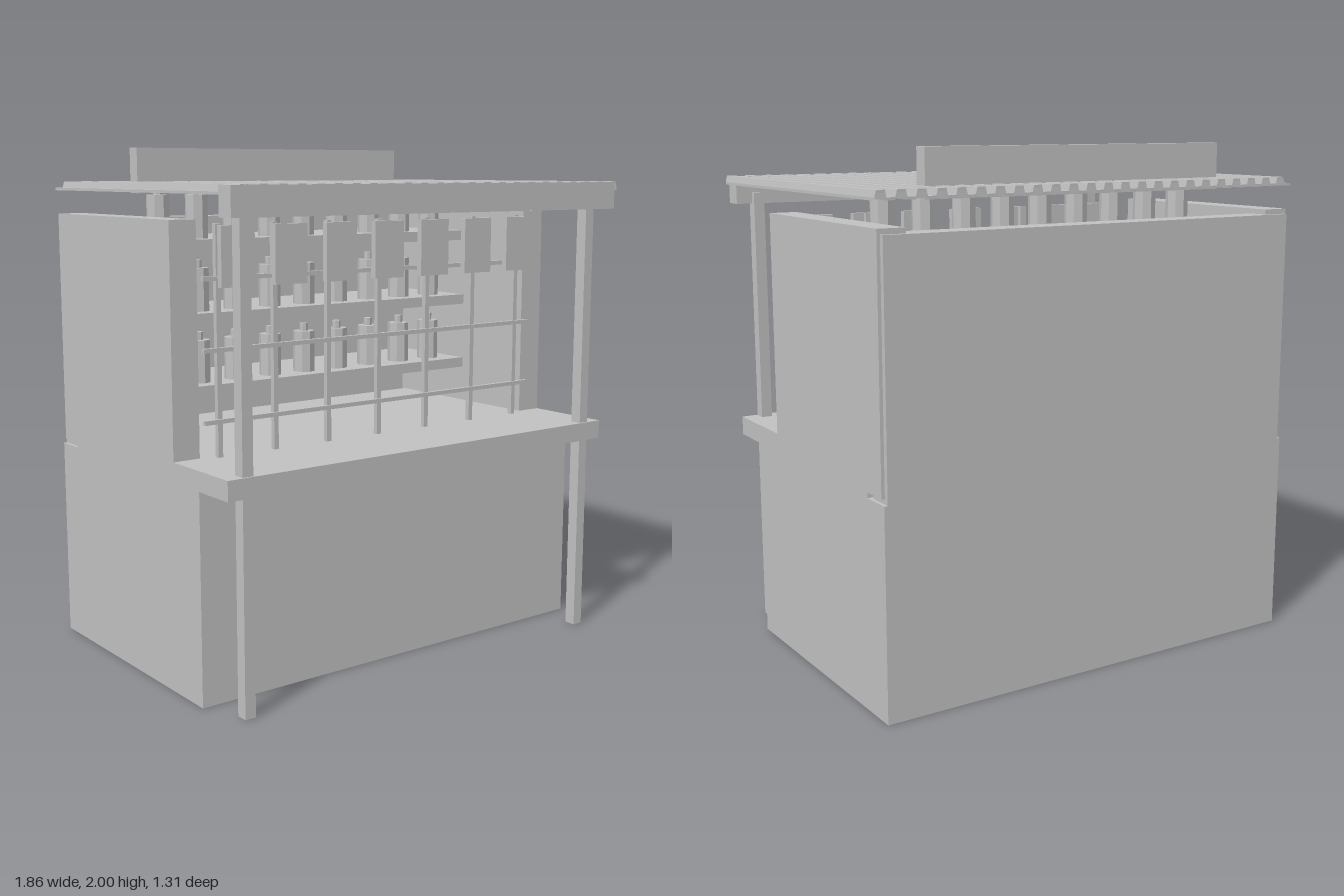
import * as THREE from 'three';

export function createModel() {
  const root = new THREE.Group();
  root.name = 'marketStall';
  const grey = new THREE.MeshStandardMaterial({ color: 0xc0c0c0 });
  grey.name = 'plain grey';
  const MID = -0.01; // middle of the stall body

  const add = (name, geometry) => {
    const mesh = new THREE.Mesh(geometry, grey);
    mesh.name = name;
    root.add(mesh);
    return mesh;
  };
  // Box given by its limits on each axis
  const box = (name, x0, x1, y0, y1, z0, z1) => {
    const mesh = add(name, new THREE.BoxGeometry(x1 - x0, y1 - y0, z1 - z0));
    mesh.position.set((x0 + x1) / 2, (y0 + y1) / 2, (z0 + z1) / 2);
    return mesh;
  };

  // Solid base, counter and back wall
  box('base', -0.93, 0.91, 0, 0.8, -0.65, 0.425);
  box('counter', -0.93, 0.91, 0.8, 0.875, -0.525, 0.613);
  box('backWall', -0.917, 0.897, 0.8, 1.72, -0.65, -0.545);

  // Side walls, with a narrow slot at the lower back corner
  const wallShape = new THREE.Shape([
    [0.25, 0.875], [0.25, 1.74], [-0.63, 1.74], [-0.63, 0.82], [-0.525, 0.82], [-0.525, 0.875],
  ].map(([z, y]) => new THREE.Vector2(z, y)));
  const wallGeometry = new THREE.ExtrudeGeometry(wallShape, { depth: 0.11, bevelEnabled: false });
  wallGeometry.rotateY(-Math.PI / 2);
  add('rightWall', wallGeometry).position.x = -0.82;
  add('leftWall', wallGeometry).position.x = 0.91;

  // Front posts
  for (const side of [-1, 1]) {
    const x = MID + side * 0.833;
    box('post', x - 0.022, x + 0.022, 0, 1.8, 0.558, 0.605);
  }

  // Three shelves, each with a row of bottles
  const bodyGeometry = new THREE.CylinderGeometry(0.046, 0.046, 0.172, 8).toNonIndexed();
  const neckGeometry = new THREE.CylinderGeometry(0.018, 0.018, 0.032, 8).toNonIndexed();
  bodyGeometry.computeVertexNormals();
  neckGeometry.computeVertexNormals();
  for (let row = 0; row < 3; row++) {
    const top = 1.07 + row * 0.288;
    box('shelf', -0.82, 0.8, top - 0.043, top, -0.545, -0.12);
    for (let i = 0; i < 9; i++) {
      const x = -0.015 + (i - 4) * 0.1725;
      add('bottleBody', bodyGeometry).position.set(x, top + 0.086, -0.223);
      add('bottleNeck', neckGeometry).position.set(x, top + 0.188, -0.223);
    }
  }

  // Grille of bars and the cards hung before it
  for (const y of [1.01, 1.272, 1.53]) {
    box('grilleRail', -0.82, 0.8, y - 0.008, y + 0.008, 0.275, 0.292);
  }
  for (let i = -3; i <= 3; i++) {
    const barX = MID + i * 0.2465;
    box('grilleBar', barX - 0.01, barX + 0.01, 0.875, 1.725, 0.262, 0.282);
    const cardX = -0.012 + i * 0.231;
    box('hangingCard', cardX - 0.071, cardX + 0.071, 1.5, 1.72, 0.321, 0.346);
  }

  // Corrugated roof sheet: a thin trapezoid wave drawn out along z
  const waves = 24, left = -0.93, pitch = 1.855 / waves;
  const upper = [];
  for (let i = 0; i < waves; i++) {
    const x = left + i * pitch;
    upper.push([x, 1.842], [x + pitch * 0.42, 1.842], [x + pitch * 0.5, 1.867], [x + pitch * 0.92, 1.867]);
  }
  upper.push([left + waves * pitch, 1.842]);
  const lower = upper.map(([x, y]) => [x, y - 0.01]).reverse();
  const roofShape = new THREE.Shape([...upper, ...lower].map(([x, y]) => new THREE.Vector2(x, y)));
  const roof = add('corrugatedRoof', new THREE.ExtrudeGeometry(roofShape, { depth: 1.303, bevelEnabled: false }));
  roof.position.z = -0.65;

  // Front fascia and the blank board standing on the roof
  box('fascia', -0.93, 0.91, 1.757, 1.864, 0.58, 0.655);
  box('roofBoard', -0.672, 0.652, 1.82, 2, -0.5, -0.442);

  return root;
}
